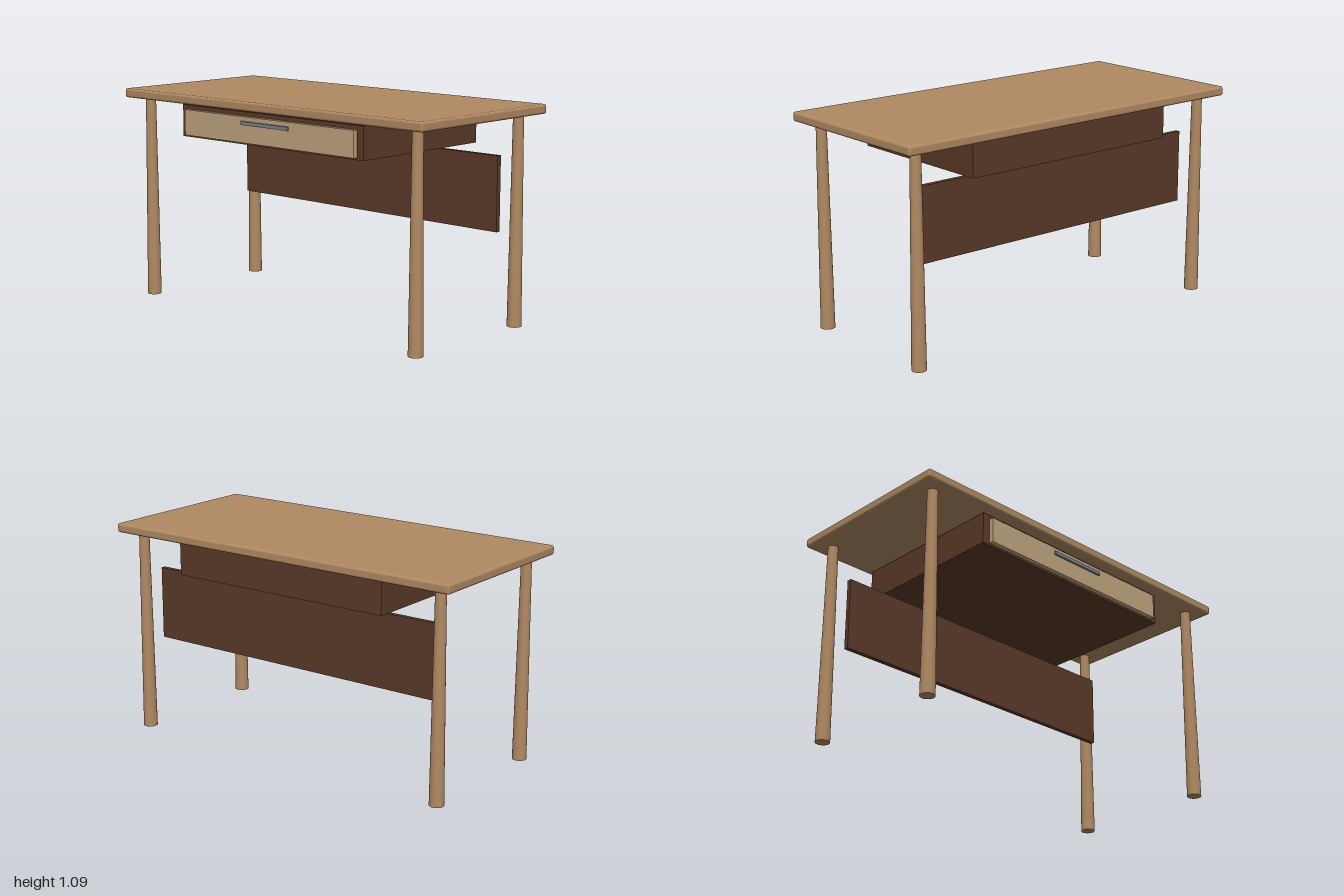
import * as THREE from 'three';
import { RoundedBoxGeometry } from 'three/addons/geometries/RoundedBoxGeometry.js';

const material = (color) => new THREE.MeshStandardMaterial({ color });

export function createModel() {
  const desk = new THREE.Group();
  desk.name = 'desk';

  const oak = material(0xb08a62);
  const walnut = material(0x5a3a28);
  const paleWood = material(0xbfa47f);
  const metal = material(0x7c8288);

  const add = (name, geometry, mat, x, y, z) => {
    const mesh = new THREE.Mesh(geometry, mat);
    mesh.name = name;
    mesh.position.set(x, y, z);
    desk.add(mesh);
  };
  // Box given by its width and its y and z limits, centred on x
  const addBox = (name, mat, width, y0, y1, z0, z1) =>
    add(name, new THREE.BoxGeometry(width, y1 - y0, z1 - z0), mat, 0, (y0 + y1) / 2, (z0 + z1) / 2);

  // Table top with softened edges
  add('tableTop', new RoundedBoxGeometry(2, 0.047, 0.926, 4, 0.012), oak, 0, 1.0635, 0);

  // Four legs, tapering upwards
  const legHeight = 1.04;
  const legGeometry = new THREE.CylinderGeometry(0.026, 0.036, legHeight, 32);
  for (const [side, x] of [['Left', 0.9], ['Right', -0.9]]) {
    for (const [end, z] of [['front', 0.372], ['back', -0.372]]) {
      add(`${end}${side}Leg`, legGeometry, oak, x, legHeight / 2, z);
    }
  }

  // Drawer case with the drawer front and its bar handle
  addBox('drawerCase', walnut, 1.222, 0.869, 1.03, -0.42, 0.408);
  addBox('drawerFront', paleWood, 1.143, 0.88, 1.009, 0.405, 0.432);
  addBox('drawerHandle', metal, 0.316, 0.969, 0.987, 0.43, 0.443);

  // Modesty panel between the rear legs
  addBox('modestyPanel', walnut, 1.713, 0.473, 0.844, -0.298, -0.273);

  return desk;
}
